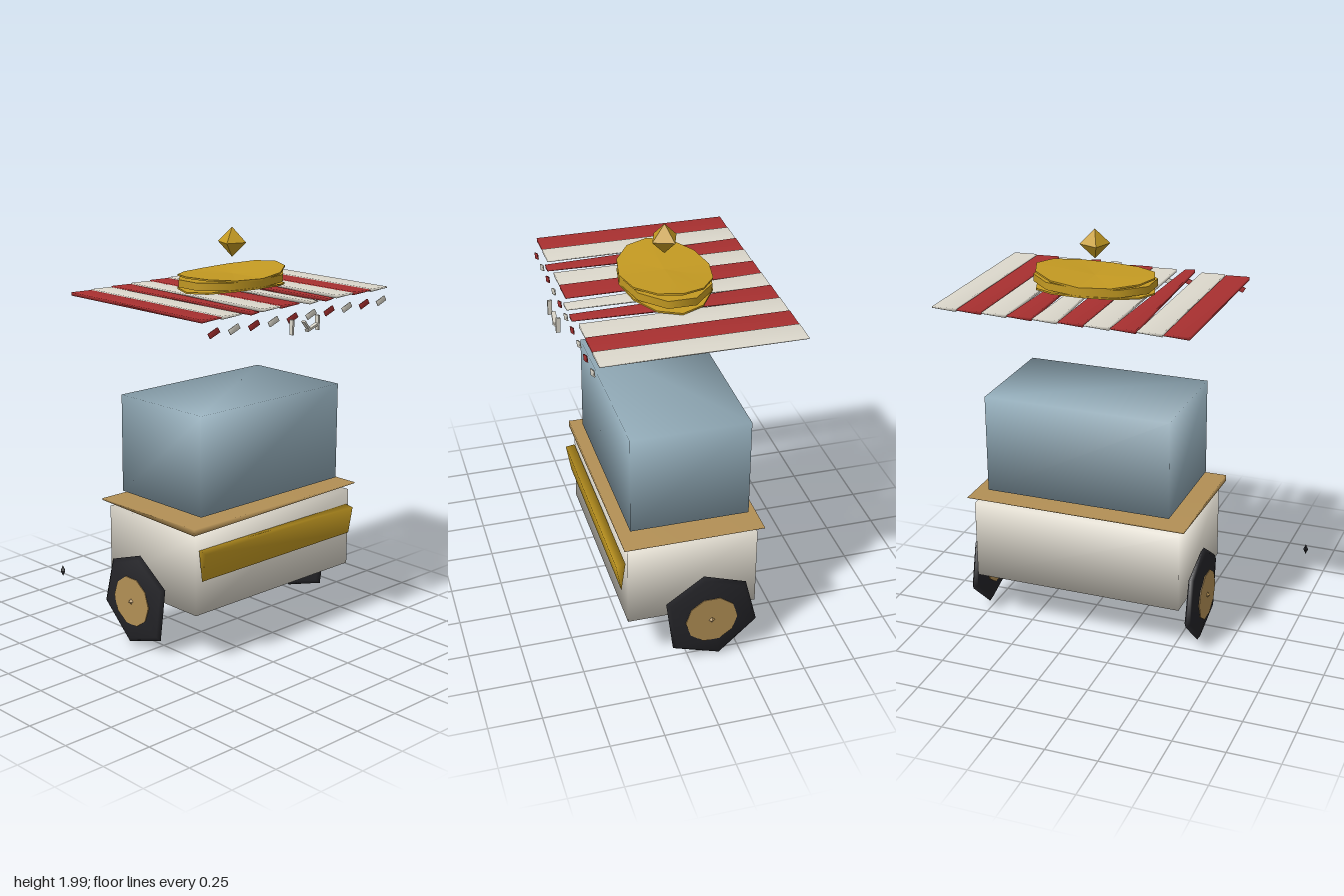
import * as THREE from 'three';

const mat = (color) => new THREE.MeshStandardMaterial({ color, side: THREE.DoubleSide });
const RED = mat(0xa83030), WHITE = mat(0xdcd8cc), GOLD = mat(0xc49a22), TAN = mat(0xb28f55);
const BLACK = mat(0x242428), GLASS = mat(0x92abb8), CREAM = mat(0xe0dbcf);

// Closed, smooth-shaded skin over rings that each hold the same number of points
function loft(rings) {
  const n = rings[0].length, last = (rings.length - 1) * n, index = [];
  for (let r = 0; r < rings.length - 1; r++) {
    for (let i = 0; i < n; i++) {
      const a = r * n + i, b = r * n + (i + 1) % n;
      index.push(a, b, b + n, a, b + n, a + n);
    }
  }
  for (let i = 1; i < n - 1; i++) {
    index.push(0, i + 1, i, last, last + i, last + i + 1);
  }
  const geometry = new THREE.BufferGeometry();
  geometry.setAttribute('position', new THREE.Float32BufferAttribute(rings.flat(2), 3));
  geometry.setIndex(index);
  geometry.computeVertexNormals();
  return geometry;
}

// Box with soft shared normals
const softBox = (x0, x1, y0, y1, z0, z1) => loft([y0, y1].map((y) =>
  [[x0, y, z1], [x1, y, z1], [x1, y, z0], [x0, y, z0]]));

export function createModel() {
  const cart = new THREE.Group();
  cart.name = 'snackCart';
  const add = (name, geometry, material, parent = cart) => {
    const mesh = new THREE.Mesh(geometry, material);
    mesh.name = name;
    parent.add(mesh);
    return mesh;
  };

  // Body and display case
  add('body', softBox(-0.3, 0.75, 0.26, 0.655, -0.33, 0.285), CREAM);
  add('displayCase', softBox(-0.24, 0.685, 0.725, 1.21, -0.305, 0.255), GLASS);

  // Counter, thickest at its front corner
  add('counter', loft([
    [[-0.33, 0.667, 0.305], [0.775, 0.686, 0.305], [0.775, 0.688, -0.355], [-0.33, 0.686, -0.355]],
    [[-0.33, 0.698, 0.305], [0.775, 0.691, 0.305], [0.775, 0.692, -0.355], [-0.33, 0.694, -0.355]],
  ]), TAN);

  // Small pointed feet under the case
  for (const x of [-0.14, 0.15, 0.44]) {
    for (const z of [0.135, -0.015, -0.165]) {
      const foot = add('caseFoot', new THREE.ConeGeometry(0.022, 0.035, 5), WHITE);
      foot.rotation.x = Math.PI;
      foot.position.set(x, 0.709, z);
    }
  }

  // Wedge-shaped front panel
  add('frontPanel', loft([-0.285, 0.73].map((x) =>
    [[x, 0.575, 0.335], [x, 0.435, 0.31], [x, 0.582, 0.29]])), GOLD);

  // Wheels: uneven six-sided tyres with ten-sided hubs
  const tyreAngles = [44, 98, 153, 222, 282, 344].map(THREE.MathUtils.degToRad);
  for (const [name, x] of [['rightWheel', -0.338], ['leftWheel', 0.782]]) {
    const wheel = new THREE.Group();
    wheel.name = name;
    wheel.position.set(x, 0.24, -0.1);
    cart.add(wheel);
    add('tyre', loft([[-0.03, 0.13], [-0.014, 0.215], [0, 0.238], [0.014, 0.215], [0.03, 0.13]]
      .map(([dx, r]) => tyreAngles.map((a) => [dx, r * Math.sin(a), -r * Math.cos(a)]))), BLACK, wheel);
    const hub = add('hub', new THREE.CylinderGeometry(0.125, 0.125, 0.066, 10), TAN, wheel);
    hub.rotation.z = Math.PI / 2;
    const cap = add('axleCap', new THREE.OctahedronGeometry(0.018), TAN, wheel);
    cap.position.x = Math.sign(x) * 0.03;
  }

  // Awning: ten stripes, a few narrowing to the front, each with a hanging flap
  const narrowed = { 2: [0.035, 0.085], 5: [0.045, 0.1], 6: [0.03, 0.08] };
  for (let i = 0; i < 10; i++) {
    const x = -0.39 + i * 0.1235, material = i % 2 ? WHITE : RED;
    const [f0, f1] = narrowed[i] ?? [0, 0.118];
    const zFront = narrowed[i] ? 0.44 : 0.42;
    const section = (a, b, z) =>
      [[x + a, 1.686, z], [x + b, 1.692, z], [x + b, 1.698, z], [x + a, 1.702, z]];
    add('awningStripe', loft([section(0, 0.118, -0.485), section(f0, f1, zFront)]), material);
    const c = x + 0.058;
    add('awningFlap', loft([0.432, 0.438].map((z) =>
      [[c - 0.022, 1.615, z], [c + 0.036, 1.637, z], [c + 0.022, 1.66, z], [c - 0.036, 1.638, z]])), material);
  }

  // Slim hangers in front of the awning
  for (const [x, y, length, tilt] of [[0.12, 1.605, 0.07, 0], [0.29, 1.605, 0.07, 0],
    [0.215, 1.6, 0.06, 0.7], [0.255, 1.588, 0.08, -1.25]]) {
    const hanger = add('awningHanger', new THREE.BoxGeometry(0.01, length, 0.02), WHITE);
    hanger.position.set(x, y, 0.472);
    hanger.rotation.z = tilt;
  }

  // Oval crown: a flat band between two discs that bend away at their ends
  const crown = new THREE.Group();
  crown.name = 'crown';
  crown.position.set(0.225, 1.755, -0.028);
  cart.add(crown);
  const band = new THREE.CylinderGeometry(1, 1, 0.036, 10);
  band.scale(0.3, 1, 0.207);
  add('crownBand', band, GOLD, crown);
  for (const side of [1, -1]) {
    const disc = new THREE.CylinderGeometry(1, 1, 0.008, 12);
    const p = disc.attributes.position;
    for (let i = 0; i < p.count; i++) {
      const x = p.getX(i);
      p.setY(i, p.getY(i) + side * (0.02 + 0.022 * x * x) + 0.006 * x * side);
    }
    disc.scale(0.295, 1, 0.208);
    disc.computeVertexNormals();
    add(side > 0 ? 'crownTop' : 'crownUnderside', disc, GOLD, crown);
  }

  // Finial
  const finial = add('finial', new THREE.OctahedronGeometry(0.071), GOLD);
  finial.position.set(0.225, 1.929, -0.028);
  finial.rotation.y = 0.45;

  // Loose handle end to the side
  const grip = add('handleEnd', new THREE.OctahedronGeometry(1), BLACK);
  grip.scale.set(0.012, 0.025, 0.016);
  grip.position.set(-0.832, 0.538, -0.03);

  return cart;
}
